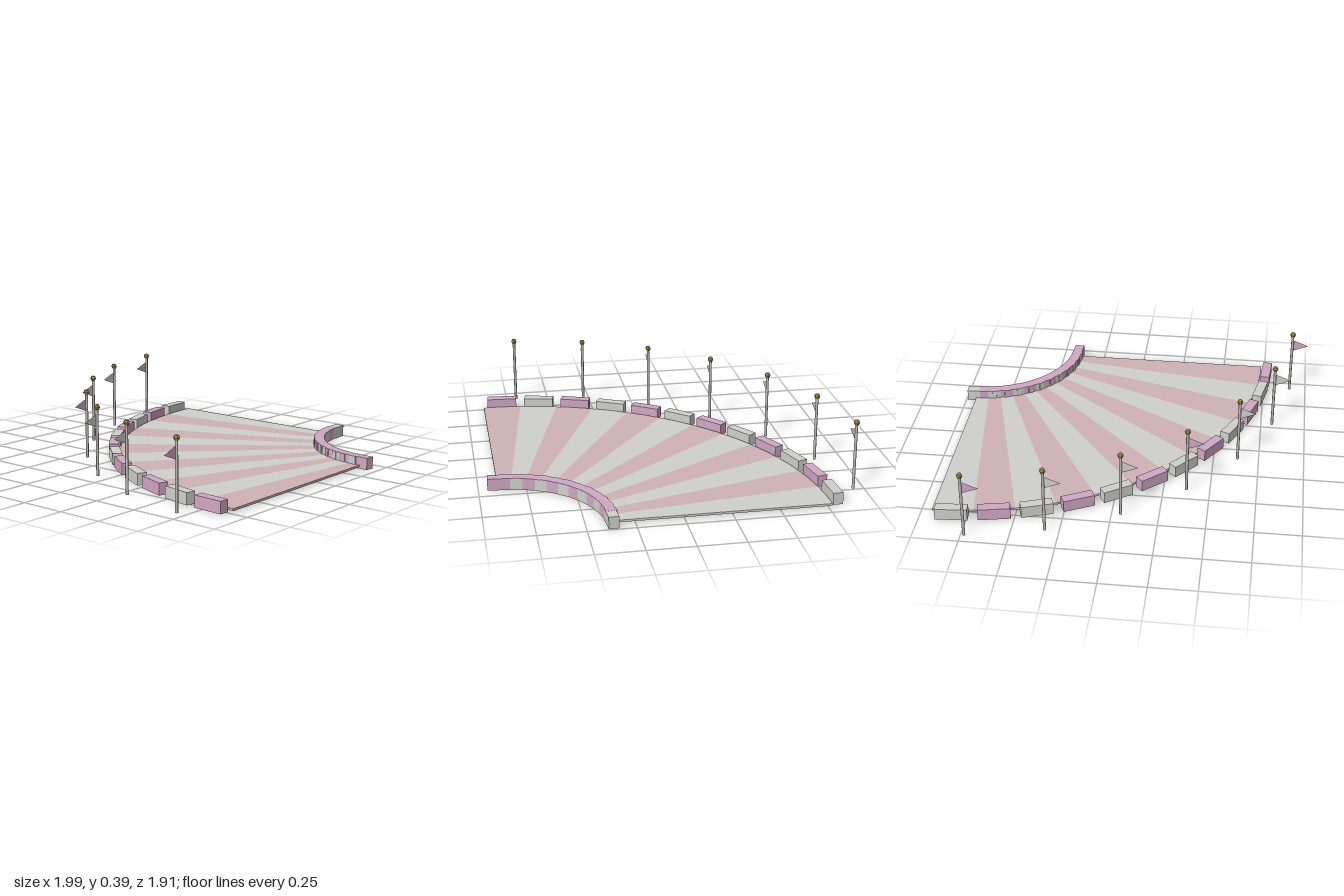
import * as THREE from 'three';

const CX = 0.94, CZ = 0.9;          // pivot of the quarter bend
const SEGMENTS = 12, POLES = 7;
const STEP = Math.PI / 2 / SEGMENTS;

const mat = (name, color, extra = {}) => {
  const m = new THREE.MeshStandardMaterial({ color, ...extra });
  m.name = name;
  return m;
};

// Point on the bend at radius r and angle a (a = 0 points to -x, a = 90 degrees to -z)
const at = (r, a) => [CX - r * Math.cos(a), CZ - r * Math.sin(a)];

export function createModel() {
  const root = new THREE.Group();
  root.name = 'curvedTrack';

  const grey = mat('paleGrey', 0xd0d0cc);
  const kerbPink = mat('kerbPink', 0xd0a8c4);
  const stripePink = mat('stripePink', 0xcfb2b6);
  const poleGrey = mat('poleGrey', 0xbfbcb8);
  const gold = mat('dullGold', 0xa8905c);
  const flagGrey = mat('flagGrey', 0xd0d0cc, { side: THREE.DoubleSide });
  const flagPink = mat('flagPink', 0xd0a8c4, { side: THREE.DoubleSide });

  const add = (parent, name, geometry, material, x = 0, y = 0, z = 0) => {
    const mesh = new THREE.Mesh(geometry, material);
    mesh.name = name;
    mesh.position.set(x, y, z);
    parent.add(mesh);
    return mesh;
  };

  // Road wedges in alternating colours
  for (let i = 0; i < SEGMENTS; i++) {
    const pts = [];
    for (let k = 0; k <= 2; k++) pts.push(new THREE.Vector2(...at(1.67, (i + k / 2) * STEP)));
    for (let k = 2; k >= 0; k--) pts.push(new THREE.Vector2(...at(0.53, (i + k / 2) * STEP)));
    const wedge = new THREE.ExtrudeGeometry(new THREE.Shape(pts), { depth: 0.012, bevelEnabled: false });
    wedge.rotateX(Math.PI / 2);
    add(root, 'roadWedge', wedge, i % 2 ? grey : stripePink, 0, 0.02, 0);
  }

  // Kerb blocks: spaced on the outside, overlapping on the inside
  const block = new THREE.BoxGeometry(0.054, 0.065, 0.172);
  for (const [name, r] of [['outerKerb', 1.705], ['innerKerb', 0.53]]) {
    for (let i = 0; i < SEGMENTS; i++) {
      const a = (i + 0.5) * STEP;
      const [x, z] = at(r, a);
      const kerb = add(root, name, block, i % 2 ? grey : kerbPink, x, 0.0325, z);
      kerb.rotation.y = -a;
      // pink tops lie just over the grey ones where blocks overlap
      if (i % 2 === 0) kerb.position.y += 0.0006;
    }
  }

  // Flag poles with finials and pennants
  const pole = new THREE.CylinderGeometry(0.008, 0.008, 0.37, 8);
  const finial = new THREE.SphereGeometry(0.017, 6, 4);
  const pennant = new THREE.ShapeGeometry(new THREE.Shape([
    new THREE.Vector2(-0.004, 0.035), new THREE.Vector2(-0.092, 0), new THREE.Vector2(-0.004, -0.035),
  ]));
  gold.flatShading = true;
  for (let i = 0; i < POLES; i++) {
    const [x, z] = at(1.857, (i + 0.5) * Math.PI / 2 / POLES);
    const flag = new THREE.Group();
    flag.name = 'flag';
    flag.position.set(x, 0, z);
    add(flag, 'flagPole', pole, poleGrey, 0, 0.185, 0);
    add(flag, 'poleFinial', finial, gold, 0, 0.372, 0);
    add(flag, 'pennant', pennant, i % 3 ? flagGrey : flagPink, 0, 0.3, 0);
    root.add(flag);
  }
  return root;
}
